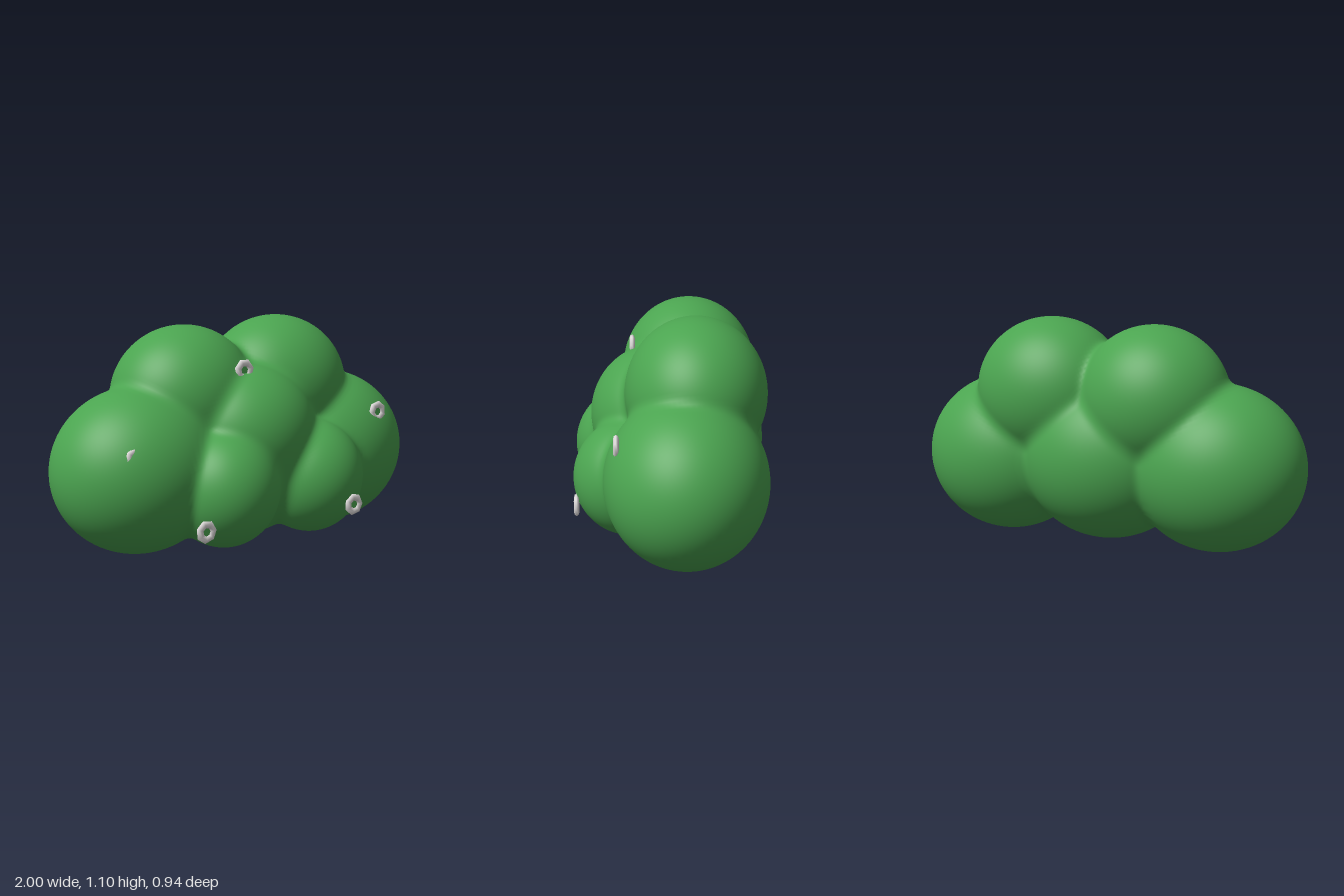
import * as THREE from 'three';
import { mergeVertices } from 'three/addons/utils/BufferGeometryUtils.js';

// Leafy lobes: centre and radii of each ellipsoid
const LOBES = [
  [0, 0.43, -0.06, 0.45, 0.42, 0.41],        // core
  [-0.02, 0.55, 0.05, 0.36, 0.34, 0.33],     // front swell
  [0.57, 0.40, -0.06, 0.43, 0.40, 0.38],     // sides
  [-0.57, 0.405, -0.06, 0.43, 0.40, 0.38],
  [0.29, 0.74, -0.12, 0.385, 0.36, 0.335],   // crown
  [-0.27, 0.72, -0.12, 0.37, 0.355, 0.335],
  [0.27, 0.32, 0.19, 0.27, 0.285, 0.275],    // lower front
  [-0.25, 0.32, 0.19, 0.27, 0.285, 0.275],
];
const BLEND = 0.035;

// Approximate distance to the smoothly blended lobes
function distance(p) {
  let d = Infinity;
  for (const [cx, cy, cz, rx, ry, rz] of LOBES) {
    const x = p.x - cx, y = p.y - cy, z = p.z - cz;
    const k0 = Math.hypot(x / rx, y / ry, z / rz);
    const k1 = Math.hypot(x / (rx * rx), y / (ry * ry), z / (rz * rz));
    const e = k1 > 1e-6 ? (k0 * (k0 - 1)) / k1 : -Math.min(rx, ry, rz);
    if (d === Infinity) { d = e; continue; }
    const h = Math.max(BLEND - Math.abs(d - e), 0) / BLEND;
    d = Math.min(d, e) - h * h * BLEND * 0.25;
  }
  return d;
}

// Shrink-wrap a fine ball onto the lobes
function foliageGeometry() {
  let geo = new THREE.IcosahedronGeometry(1, 42);
  geo.deleteAttribute('uv');
  geo.deleteAttribute('normal');
  geo = mergeVertices(geo, 1e-5);
  const pos = geo.attributes.position;
  const centre = new THREE.Vector3(0, 0.42, -0.03);
  const dir = new THREE.Vector3(), p = new THREE.Vector3();
  for (let i = 0; i < pos.count; i++) {
    dir.fromBufferAttribute(pos, i).normalize();
    let t = 1.3;
    for (let n = 0; n < 80; n++) {
      const d = distance(p.copy(centre).addScaledVector(dir, t));
      if (Math.abs(d) < 1e-4) break;
      t -= d * 0.7;
    }
    p.copy(centre).addScaledVector(dir, t);
    pos.setXYZ(i, p.x, p.y, p.z);
  }
  geo.computeVertexNormals();
  return geo;
}

export function createModel() {
  const leaf = new THREE.MeshStandardMaterial({ color: 0x4ba450 });
  leaf.name = 'leafGreen';
  const petal = new THREE.MeshStandardMaterial({ color: 0xe2dede });
  petal.name = 'petalWhite';

  const bush = new THREE.Group();
  bush.name = 'bush';
  const foliage = new THREE.Mesh(foliageGeometry(), leaf);
  foliage.name = 'foliage';
  bush.add(foliage);

  // Ring-shaped blossoms facing forward: x, y, z, roll
  const ring = new THREE.TorusGeometry(0.036, 0.019, 8, 7);
  ring.scale(1, 1, 0.68);
  const disc = new THREE.CylinderGeometry(0.024, 0.024, 0.008, 8);
  disc.rotateX(Math.PI / 2);
  const blossoms = [
    [-0.115, 0.87, 0.172, 0.2],
    [0.665, 0.61, 0.258, 0.5],
    [0.345, 0.205, 0.45, 0.9],
    [-0.485, 0.182, 0.39, 0.1],
    [-0.755, 0.525, 0.232, 0.7],
  ];
  for (const [x, y, z, roll] of blossoms) {
    const blossom = new THREE.Group();
    blossom.name = 'blossom';
    const petals = new THREE.Mesh(ring, petal);
    petals.name = 'petals';
    const middle = new THREE.Mesh(disc, leaf);
    middle.name = 'blossomCentre';
    blossom.add(petals, middle);
    blossom.position.set(x, y, z);
    blossom.rotation.z = roll;
    bush.add(blossom);
  }
  return bush;
}
